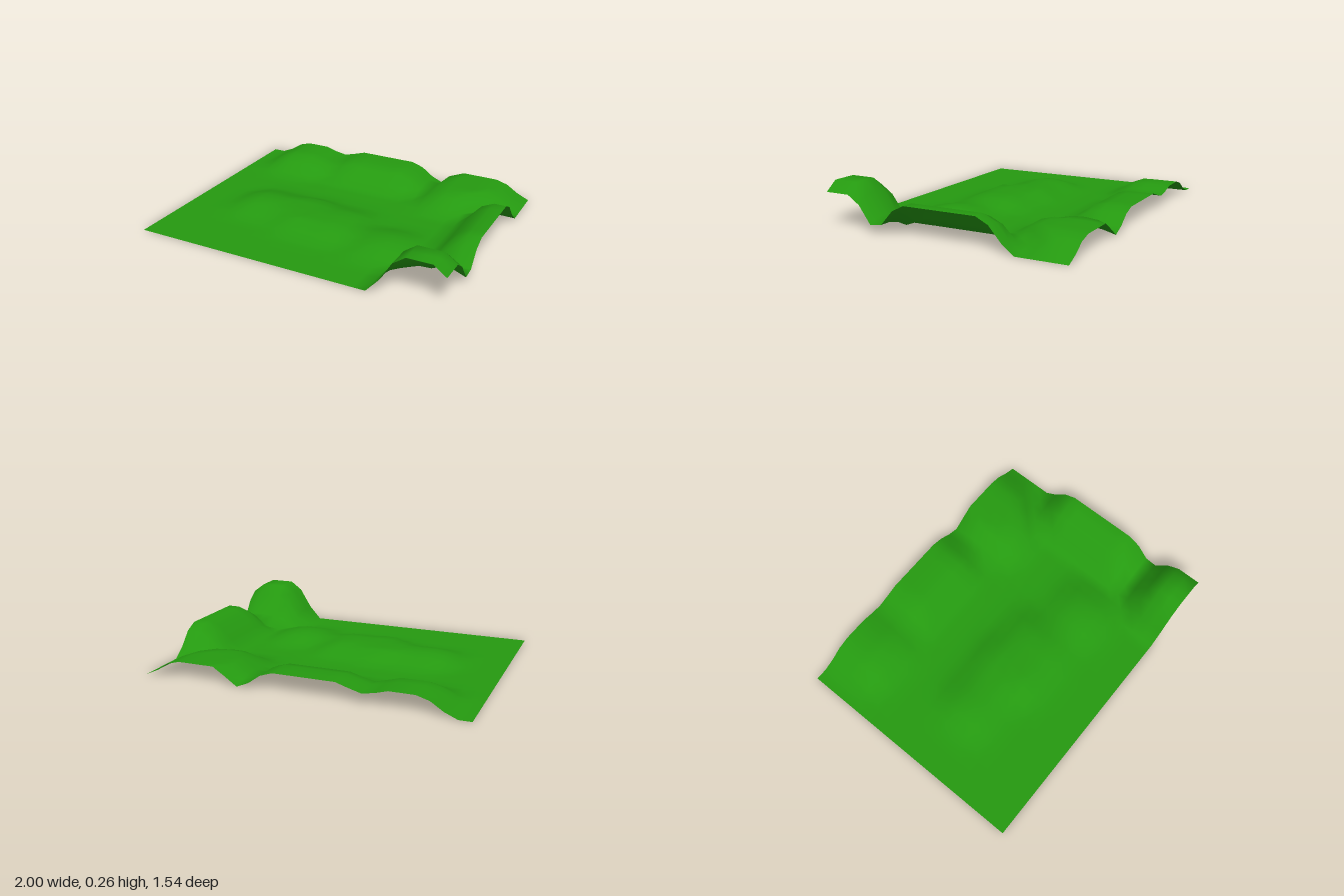
import * as THREE from 'three';

const WIDTH = 2, DEPTH = 1.54, FALLOFF = 0.235;

// Hills with flat tops: [x from, x to, z from, z to, height]
const hills = [
  [-0.69, -0.54, -0.90, -0.56, 0.105], // back ridge, west
  [-0.23, 0.15, -0.90, -0.60, 0.115],  // back ridge, middle
  [0.54, 0.62, -0.62, -0.46, 0.105],   // back ridge, east
  [0.62, 0.77, -0.90, -0.62, 0.105],
  [-0.54, -0.23, 0.08, 0.15, 0.065],   // low middle ridge
  [-0.15, 0.08, 0.10, 0.25, 0.065],
  [0.38, 0.46, 0.23, 0.31, 0.06],
  [0.92, 1.10, -0.23, 0.23, 0.185],    // side hill
  [0.77, 0.92, 0.62, 0.90, 0.265],     // tall front corner hill
];

// Overlapping slopes add up, but never rise above the tallest hill involved
function heightAt(x, z) {
  let sum = 0, cap = 0;
  for (const [x0, x1, z0, z1, top] of hills) {
    const dx = Math.max(x0 - x, 0, x - x1);
    const dz = Math.max(z0 - z, 0, z - z1);
    const t = Math.hypot(dx, dz) / FALLOFF;
    if (t >= 1) continue;
    sum += top * (1 - t * t) ** 2;
    cap = Math.max(cap, top);
  }
  return Math.min(sum, cap);
}

export function createModel() {
  const group = new THREE.Group();
  group.name = 'terrain';

  // Ground sheet raised by the hills
  const geometry = new THREE.PlaneGeometry(WIDTH, DEPTH, 26, 20);
  geometry.rotateX(-Math.PI / 2);
  const pos = geometry.attributes.position;
  for (let i = 0; i < pos.count; i++) {
    pos.setY(i, heightAt(pos.getX(i), pos.getZ(i)));
  }
  geometry.computeVertexNormals();

  const material = new THREE.MeshStandardMaterial({ color: 0x259a10, side: THREE.DoubleSide });
  const ground = new THREE.Mesh(geometry, material);
  ground.name = 'grassGround';
  group.add(ground);
  return group;
}
